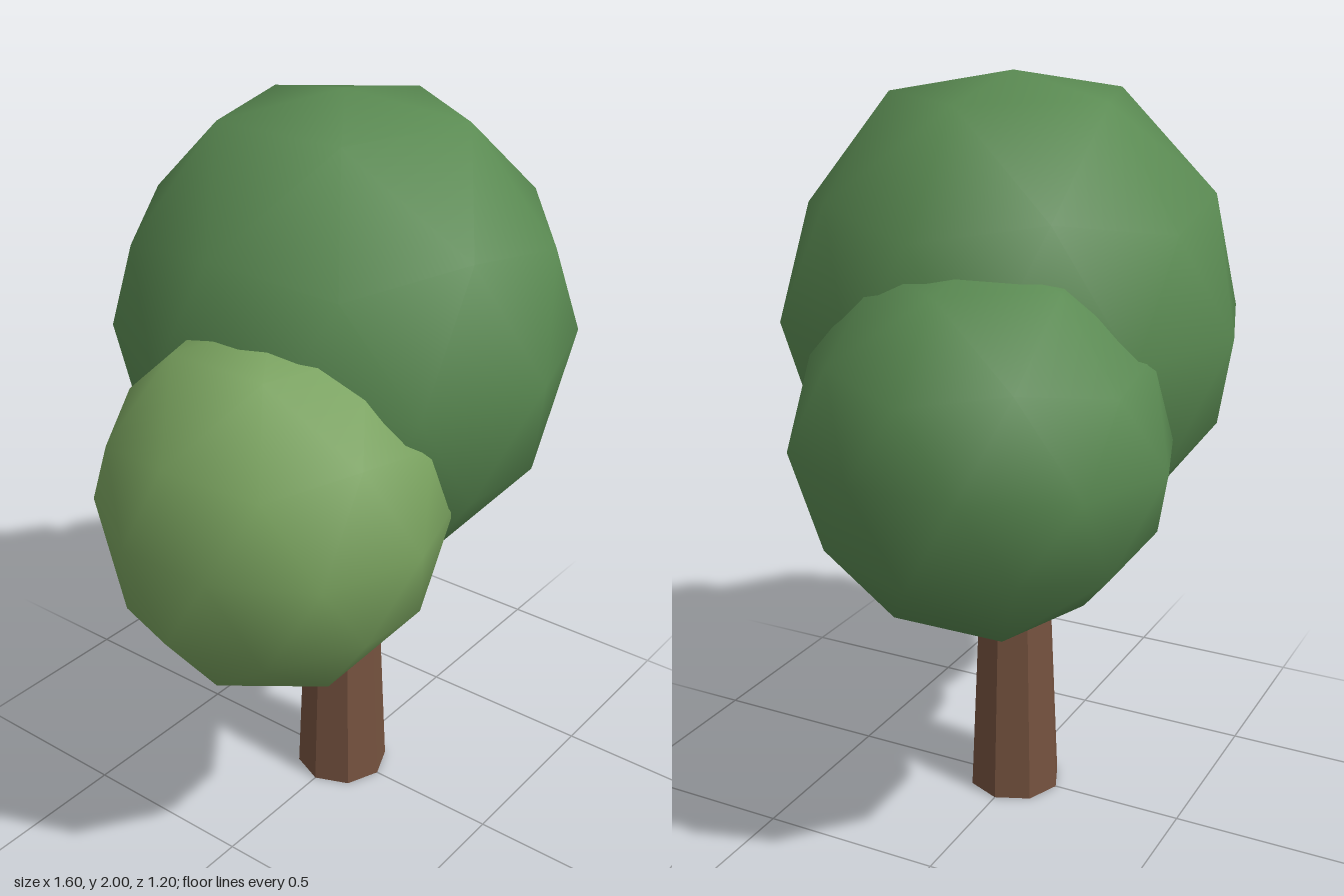
import * as THREE from 'three';
import { mergeVertices } from 'three/addons/utils/BufferGeometryUtils.js';

// Low-poly ball with a vertex at each pole, slightly squared at the shoulders
function leafGeometry() {
  let g = new THREE.IcosahedronGeometry(1, 1);
  g.rotateZ(-Math.atan(2 / (1 + Math.sqrt(5))));
  g.deleteAttribute('normal');
  g.deleteAttribute('uv');
  g = mergeVertices(g, 1e-3);
  const p = g.attributes.position;
  for (let i = 0; i < p.count; i++) {
    const x = p.getX(i), y = p.getY(i), z = p.getZ(i), h = Math.abs(y);
    // raise the rings next to the poles
    if (h > 0.8 && h < 0.95) p.setY(i, y * 1.07);
    // flatten the two sides, widen the corners beside them
    if (h < 0.1) {
      const k = Math.abs(x) > 0.95 ? 0.93 : Math.abs(x) > 0.7 ? 1.03 : 1;
      p.setXYZ(i, x * k, y, z * k);
    }
  }
  g.computeVertexNormals();
  return g;
}

export function createModel() {
  const tree = new THREE.Group();
  tree.name = 'tree';

  const bark = new THREE.MeshStandardMaterial({ color: 0x75523f, flatShading: true });
  const darkLeaf = new THREE.MeshStandardMaterial({ color: 0x5a8a52 });
  const lightLeaf = new THREE.MeshStandardMaterial({ color: 0x7aa35f });

  // Tapered eight-sided trunk, ending inside the crown
  const trunk = new THREE.Mesh(new THREE.CylinderGeometry(0.085, 0.13, 1, 8), bark);
  trunk.name = 'trunk';
  trunk.position.y = 0.5;
  tree.add(trunk);

  // Foliage: name, material, centre, radii
  const leaves = leafGeometry();
  const clumps = [
    ['mainFoliage', darkLeaf, [0.01, 1.385, 0], [0.6, 0.615, 0.6]],
    ['rightFoliage', lightLeaf, [-0.4, 1.09, 0.1], [0.45, 0.46, 0.44]],
    ['leftFoliage', darkLeaf, [0.39, 1.16, -0.11], [0.455, 0.45, 0.475]],
  ];
  for (const [name, material, centre, radii] of clumps) {
    const clump = new THREE.Mesh(leaves, material);
    clump.name = name;
    clump.position.set(...centre);
    clump.scale.set(...radii);
    tree.add(clump);
  }
  return tree;
}
